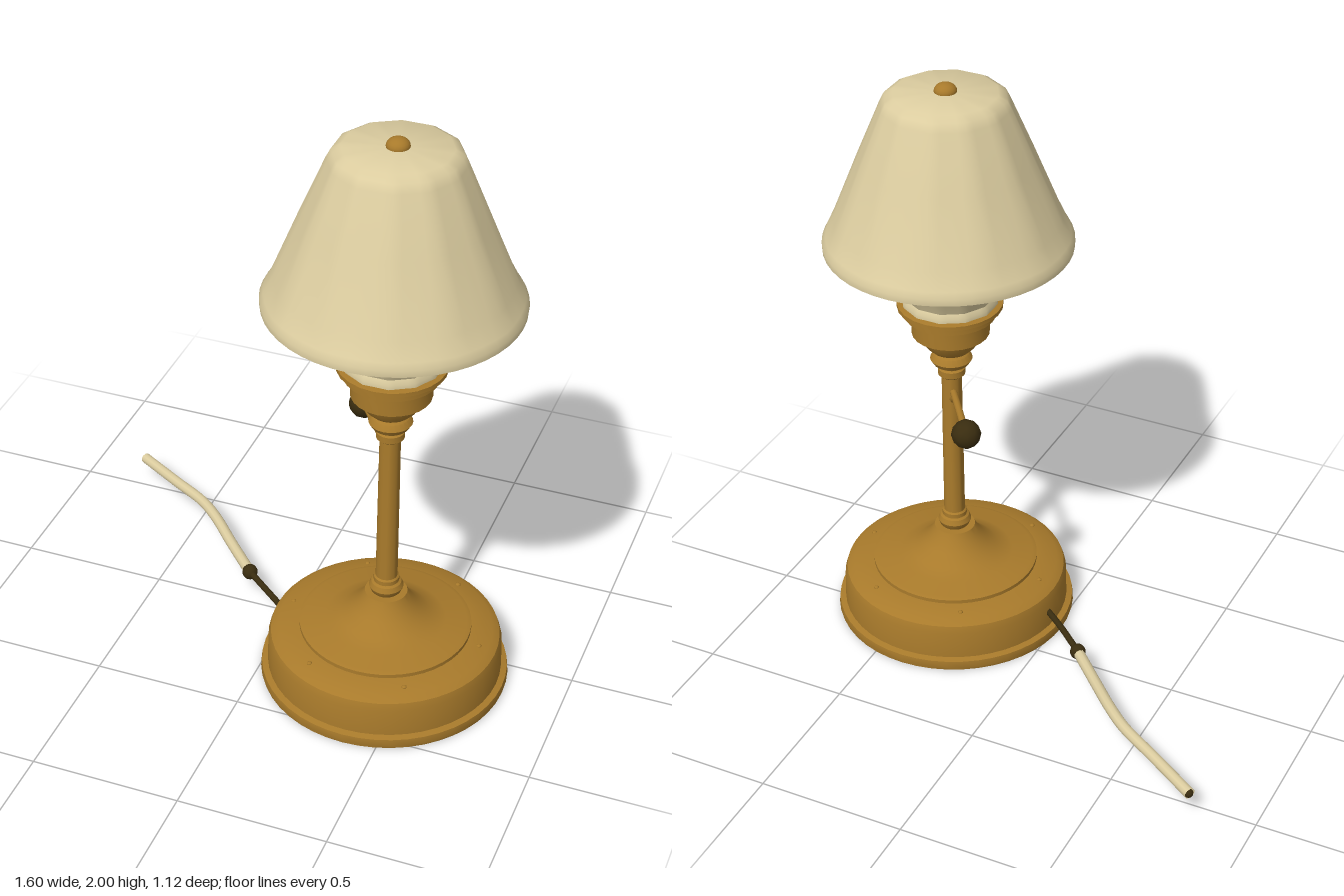
import * as THREE from 'three';
import { toCreasedNormals } from 'three/addons/utils/BufferGeometryUtils.js';

const mat = (name, color, side = THREE.FrontSide) => {
  const m = new THREE.MeshStandardMaterial({ color, side });
  m.name = name;
  return m;
};

export function createModel() {
  const brass = mat('brass', 0xa87a2b);
  const lining = mat('brass lining', 0x8a6426, THREE.DoubleSide);
  const cream = mat('cream glass', 0xdccda0, THREE.DoubleSide);
  const dark = mat('dark bronze', 0x3a2d10);

  const model = new THREE.Group();
  model.name = 'tableLamp';
  const lamp = new THREE.Group();
  lamp.name = 'lamp';
  lamp.position.set(0.39, 0, 0.15);
  model.add(lamp);

  const add = (parent, name, geometry, material, pos = [0, 0, 0]) => {
    const mesh = new THREE.Mesh(geometry, material);
    mesh.name = name;
    mesh.position.set(...pos);
    parent.add(mesh);
    return mesh;
  };

  // Turned part from a bottom-to-top [radius, height] profile
  const turned = (name, profile, material, segments = 48, crease = 0.6) => {
    const g = new THREE.LatheGeometry(profile.map(p => new THREE.Vector2(...p)), segments);
    return add(lamp, name, toCreasedNormals(g, crease), material);
  };

  // Turned part with softly facetted sides; facets fade out where fade(y) is 0
  const facetted = (name, profile, material, sides, fade) => {
    const g = new THREE.LatheGeometry(profile.map(p => new THREE.Vector2(...p)), sides * 4);
    const p = g.attributes.position;
    const step = (Math.PI * 2) / sides;
    for (let i = 0; i < p.count; i++) {
      const a = Math.atan2(p.getX(i), p.getZ(i));
      const off = a - Math.round(a / step) * step;
      const k = 1 + fade(p.getY(i)) * (Math.cos(step / 2) / Math.cos(off) - 1);
      p.setXYZ(i, p.getX(i) * k, p.getY(i), p.getZ(i) * k);
    }
    return add(lamp, name, toCreasedNormals(g, 0.75), material);
  };

  // Base with foot flange, drum and flared neck
  turned('base', [
    [0, 0], [0.41, 0], [0.413, 0.01], [0.41, 0.033], [0.39, 0.038], [0.388, 0.135],
    [0.38, 0.16], [0.355, 0.177], [0.285, 0.187], [0.285, 0.2], [0.27, 0.206],
    [0.2, 0.212], [0.15, 0.232], [0.11, 0.265], [0.082, 0.3], [0.07, 0.325], [0, 0.325]
  ], brass);
  for (let i = 0; i < 6; i++) {
    const a = (i + 0.5) * Math.PI / 3;
    const rivet = add(lamp, 'rivet', new THREE.SphereGeometry(0.009, 8, 6), brass,
      [0.325 * Math.sin(a), 0.181, 0.325 * Math.cos(a)]);
    rivet.scale.y = 0.6;
  }

  // Post with beads and collars
  turned('post', [
    [0.04, 0.32], [0.05, 0.33], [0.057, 0.348], [0.05, 0.365], [0.042, 0.37], [0.042, 0.385],
    [0.036, 0.39], [0.034, 0.93], [0.046, 0.94], [0.046, 0.962], [0.038, 0.967], [0.04, 0.975],
    [0.06, 0.982], [0.071, 1.0], [0.06, 1.02], [0.045, 1.028], [0.045, 1.045]
  ], brass, 24);

  // Burner cup
  turned('burnerCup', [
    [0, 1.03], [0.065, 1.035], [0.085, 1.055], [0.1, 1.09], [0.13, 1.102], [0.13, 1.168],
    [0.155, 1.174], [0.155, 1.202], [0.176, 1.204], [0.176, 1.218], [0.15, 1.222], [0, 1.222]
  ], brass, 24);

  // Glass bowl beneath and inside the shade
  facetted('glassBowl', [
    [0.14, 1.215], [0.16, 1.22], [0.16, 1.235], [0.152, 1.25], [0.175, 1.3], [0.245, 1.42],
    [0.285, 1.49], [0.27, 1.53], [0.15, 1.8], [0, 1.85]
  ], cream, 12, () => 0.9);

  // Shade: facetted at the crown, round at the rim
  const fade = y => THREE.MathUtils.clamp((y - 1.44) / 0.15, 0, 1);
  facetted('shade', [
    [0.395, 1.428], [0.409, 1.432], [0.411, 1.455], [0.4, 1.475], [0.375, 1.53],
    [0.29, 1.74], [0.212, 1.925], [0.198, 1.952], [0.17, 1.968], [0, 1.972]
  ], cream, 12, fade);
  facetted('shadeLining', [
    [0.395, 1.428], [0.385, 1.46], [0.355, 1.53], [0.272, 1.74], [0.19, 1.93], [0, 1.95]
  ], lining, 12, fade);

  // Finial
  add(lamp, 'finial', new THREE.SphereGeometry(0.037, 20, 12), brass, [0, 1.973, 0])
    .scale.y = 0.73;

  // Tube along a smooth curve
  const tube = (parent, name, points, radius, material) => add(parent, name,
    new THREE.TubeGeometry(new THREE.CatmullRomCurve3(points.map(p => new THREE.Vector3(...p))),
      24, radius, 10), material);

  // Adjusting key on the post
  tube(lamp, 'keyBracket', [[0, 0.845, 0], [-0.022, 0.858, -0.03], [-0.036, 0.878, -0.048]], 0.014, brass);
  tube(lamp, 'keyStem', [[0, 0.88, 0], [-0.08, 0.88, -0.108], [-0.165, 0.88, -0.225]], 0.012, brass);
  const knob = new THREE.IcosahedronGeometry(0.05, 1);
  add(lamp, 'keyKnob', knob, dark, [-0.17, 0.877, -0.23]);

  // Power cord trailing behind
  tube(model, 'cordLead', [[0.03, 0.095, 0.12], [-0.07, 0.096, 0.04], [-0.175, 0.09, -0.05]], 0.011, dark);
  add(model, 'cordJoint', new THREE.SphereGeometry(0.027, 12, 8), dark, [-0.175, 0.09, -0.05]);
  tube(model, 'cord', [
    [-0.18, 0.09, -0.055], [-0.3, 0.093, -0.18], [-0.4, 0.1, -0.285], [-0.48, 0.1, -0.355],
    [-0.62, 0.094, -0.44], [-0.79, 0.086, -0.545]
  ], 0.019, cream);
  add(model, 'cordTip', new THREE.SphereGeometry(0.016, 10, 8), dark, [-0.785, 0.086, -0.543]);

  return model;
}
